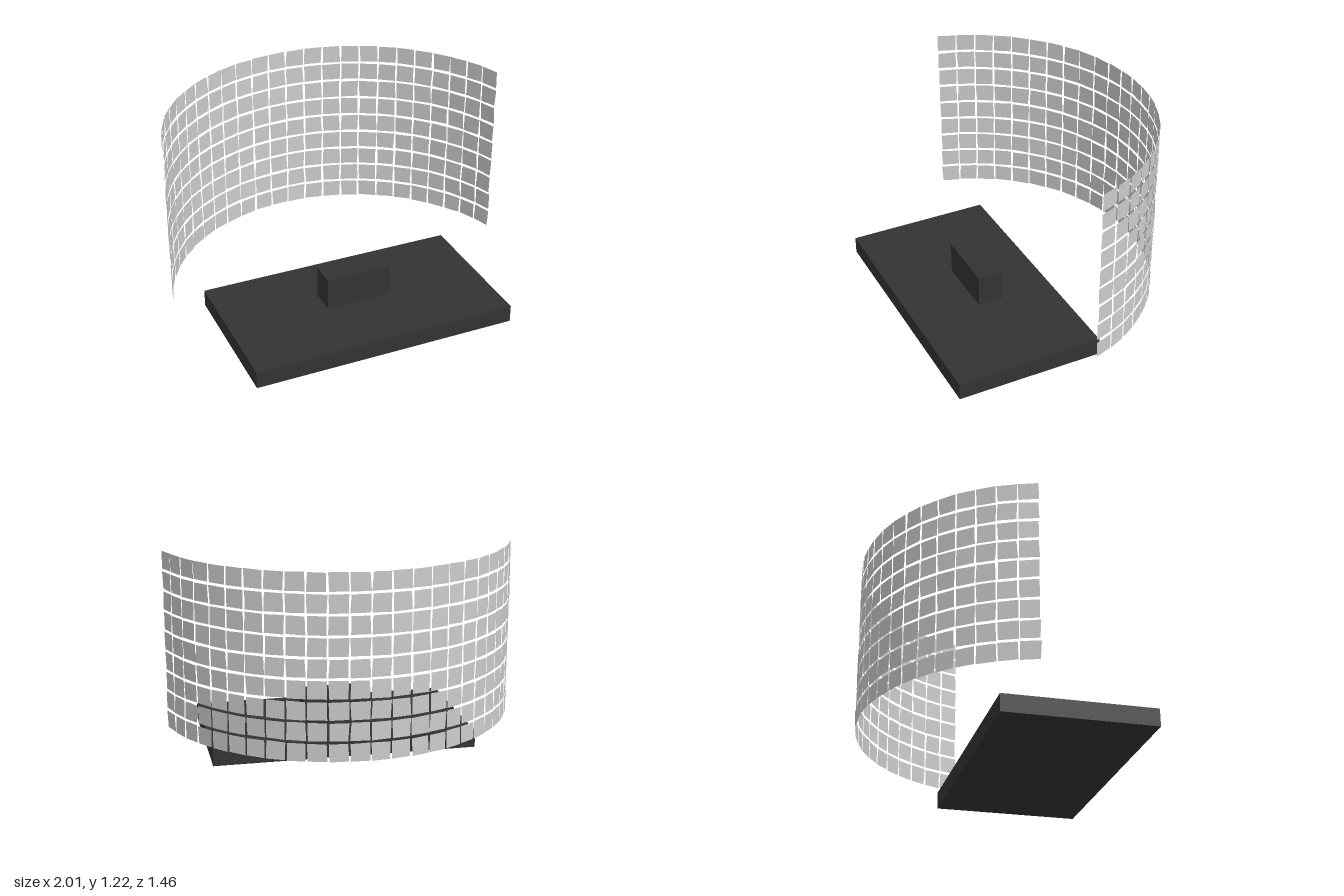
import * as THREE from 'three';

const COLUMNS = 24, ROWS = 9;
const RADIUS = 1.036, ARC = THREE.MathUtils.degToRad(150);
const CENTRE_X = -0.004, CENTRE_Z = 0.306;
const TILE_W = 0.104, TILE_H = 0.1, ROW_PITCH = 0.115, FIRST_ROW_Y = 0.25;

// Small seeded generator returning values in -1..1
function makeJitter(seed) {
  return () => {
    seed = (seed * 16807) % 2147483647;
    return (seed / 2147483647) * 2 - 1;
  };
}

export function createModel() {
  const model = new THREE.Group();
  const dark = new THREE.MeshStandardMaterial({ color: 0x333333 });
  dark.name = 'dark grey';
  const pale = new THREE.MeshStandardMaterial({ color: 0xcccccc, side: THREE.DoubleSide });
  pale.name = 'pale grey';

  function box(name, w, h, d, x, y, z) {
    const mesh = new THREE.Mesh(new THREE.BoxGeometry(w, h, d), dark);
    mesh.name = name;
    mesh.position.set(x, y, z);
    model.add(mesh);
  }

  // Platform with a small desk on it
  box('platform', 1.54, 0.1, 0.85, -0.005, 0.05, 0.305);
  box('desk', 0.38, 0.19, 0.15, -0.005, 0.195, 0.265);

  // Curved wall of slightly uneven flat tiles, facing the platform
  const wall = new THREE.Group();
  wall.name = 'tileWall';
  const jitter = makeJitter(4711);
  for (let row = 0; row < ROWS; row++) {
    for (let col = 0; col < COLUMNS; col++) {
      const angle = ((col + 0.5) / COLUMNS - 0.5) * ARC;
      const geometry = new THREE.PlaneGeometry(TILE_W, TILE_H);
      const corners = geometry.attributes.position;
      for (let i = 0; i < 4; i++) {
        corners.setX(i, corners.getX(i) + jitter() * 0.004);
        corners.setY(i, corners.getY(i) + jitter() * 0.002);
      }
      const tile = new THREE.Mesh(geometry, pale);
      tile.name = 'tile';
      tile.position.set(
        CENTRE_X + RADIUS * Math.sin(angle),
        FIRST_ROW_Y + row * ROW_PITCH,
        CENTRE_Z - RADIUS * Math.cos(angle)
      );
      tile.rotation.set(jitter() * 0.03, -angle + jitter() * 0.03, jitter() * 0.012, 'YXZ');
      wall.add(tile);
    }
  }
  model.add(wall);
  return model;
}
